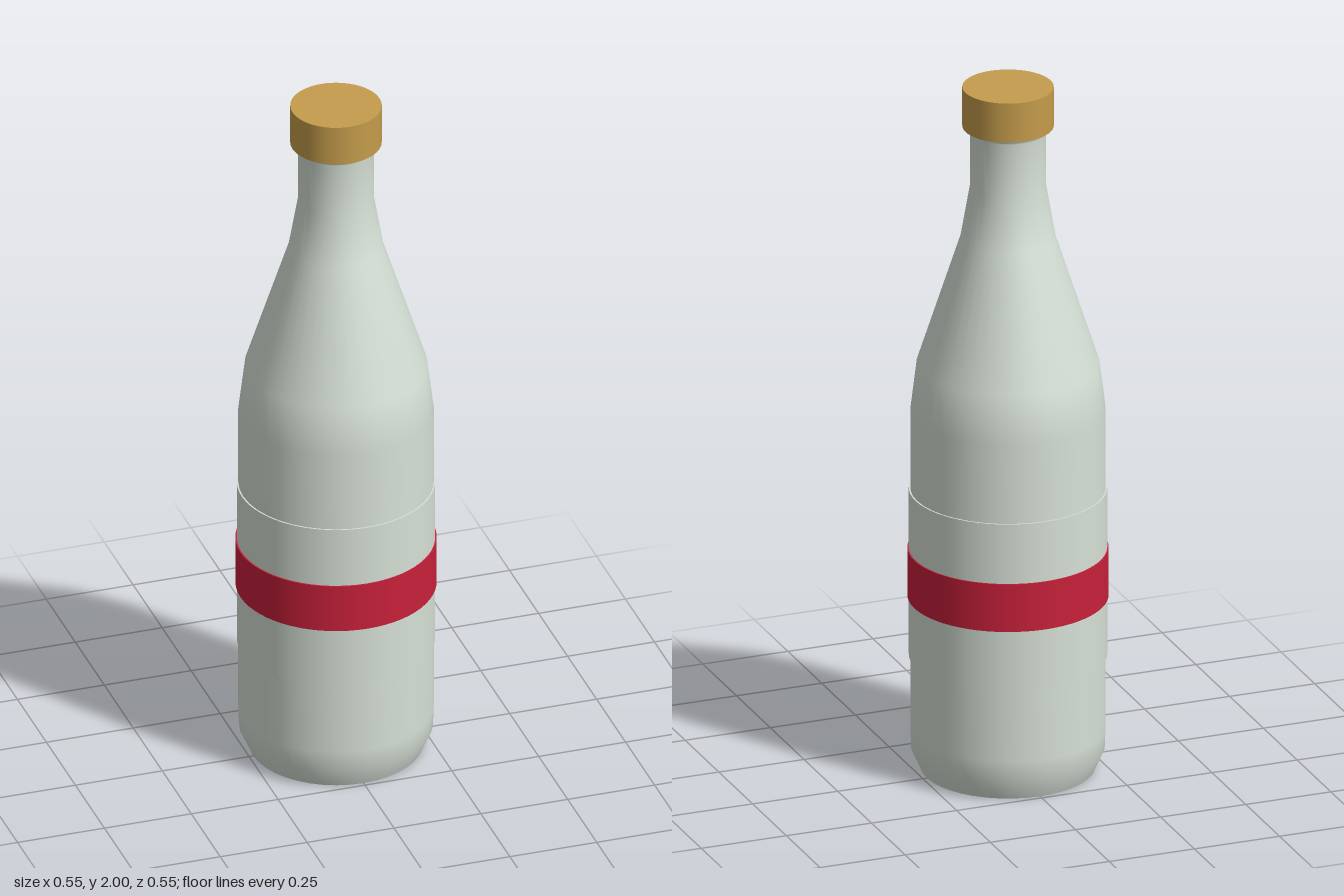
import * as THREE from 'three';

const material = (name, color, side = THREE.FrontSide) => {
  const m = new THREE.MeshStandardMaterial({ color, side });
  m.name = name;
  return m;
};

export function createModel() {
  const group = new THREE.Group();
  group.name = 'bottle';

  const glass = material('pale glass', 0xd6e0d6, THREE.DoubleSide);
  const red = material('red stripe', 0xc8203a);
  const gold = material('gold cap', 0xc49c4c);
  const yellow = material('yellow liquid', 0xdec45c, THREE.DoubleSide);

  const add = (name, geometry, mat, y = 0) => {
    const mesh = new THREE.Mesh(geometry, mat);
    mesh.name = name;
    mesh.position.y = y;
    group.add(mesh);
  };
  const lathe = (points, segments) =>
    new THREE.LatheGeometry(points.map(([r, y]) => new THREE.Vector2(r, y)), segments);
  const drum = (name, radius, bottom, top, mat) =>
    add(name, new THREE.CylinderGeometry(radius, radius, top - bottom, 64), mat, (top + bottom) / 2);

  // Open-bottomed shell with chamfered foot, sloping shoulder and lip
  add('glassBody', lathe([
    [0.238, 0], [0.265, 0.06], [0.267, 0.12], [0.267, 1.05], [0.25, 1.19],
    [0.13, 1.56], [0.104, 1.71], [0.104, 1.87], [0.118, 1.88], [0.118, 1.9],
  ], 40), glass);

  // Liquid inside, with a shallow pointed base
  add('liquid', lathe([
    [0, 0.001], [0.25, 0.057], [0.255, 0.12], [0.255, 1.0], [0, 1.0],
  ], 40), yellow);

  // Wrapped label and its stripe
  drum('label', 0.271, 0.33, 0.82, glass);
  drum('labelStripe', 0.275, 0.505, 0.645, red);

  // Cap
  drum('cap', 0.125, 1.885, 2, gold);

  return group;
}
